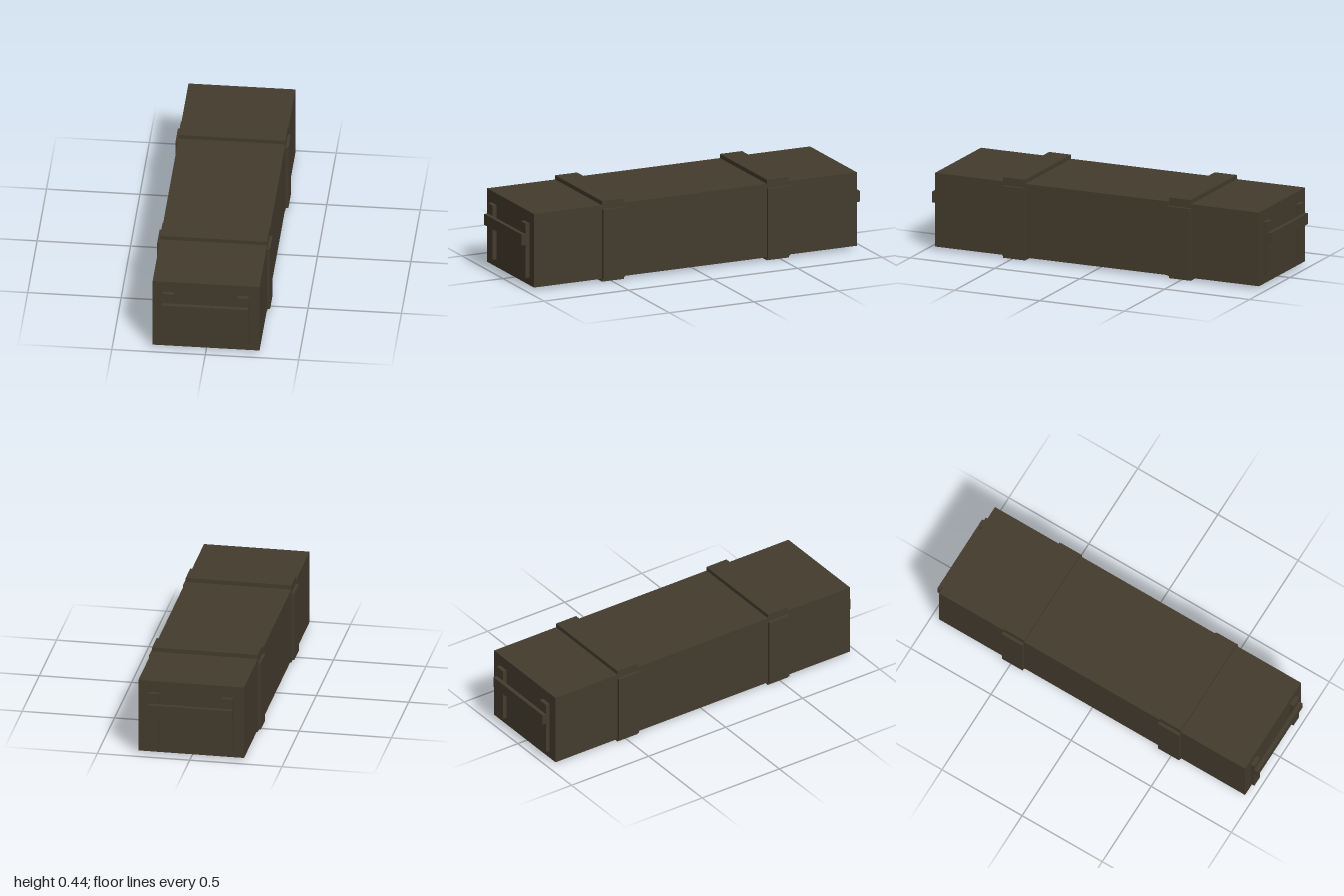
import * as THREE from 'three';

export function createModel() {
  const crate = new THREE.Group();
  crate.name = 'crate';
  const wood = new THREE.MeshStandardMaterial({ color: 0x433b2d });
  wood.name = 'dark olive wood';

  // Box between two opposite corners
  function block(name, [x0, y0, z0], [x1, y1, z1], parent = crate) {
    const mesh = new THREE.Mesh(new THREE.BoxGeometry(x1 - x0, y1 - y0, z1 - z0), wood);
    mesh.position.set((x0 + x1) / 2, (y0 + y1) / 2, (z0 + z1) / 2);
    mesh.name = name;
    parent.add(mesh);
  }

  // Main box
  block('body', [-0.286, 0.016, -0.955], [0.286, 0.422, 0.955]);

  for (const end of [1, -1]) {
    const label = end > 0 ? 'front' : 'back';

    // Battens wrapped around the box
    const battens = new THREE.Group();
    battens.name = label + 'Battens';
    const z0 = end * 0.488 - 0.065, z1 = end * 0.488 + 0.065;
    block('topBatten', [-0.286, 0.422, z0], [0.286, 0.445, z1], battens);
    block('bottomBatten', [-0.286, 0, z0], [0.286, 0.016, z1], battens);
    block('leftBatten', [0.286, 0.016, z0], [0.302, 0.4, z1], battens);
    block('rightBatten', [-0.302, 0.016, z0], [-0.286, 0.4, z1], battens);
    crate.add(battens);

    // Carrying handle: two uprights and a crossbar
    const handle = new THREE.Group();
    handle.name = label + 'Handle';
    block('leftUpright', [0.171, 0.058, 0.955], [0.229, 0.358, 0.978], handle);
    block('rightUpright', [-0.229, 0.058, 0.955], [-0.171, 0.358, 0.978], handle);
    block('crossbar', [-0.229, 0.24, 0.978], [0.229, 0.3, 1], handle);
    if (end < 0) handle.rotation.y = Math.PI;
    crate.add(handle);
  }
  return crate;
}
